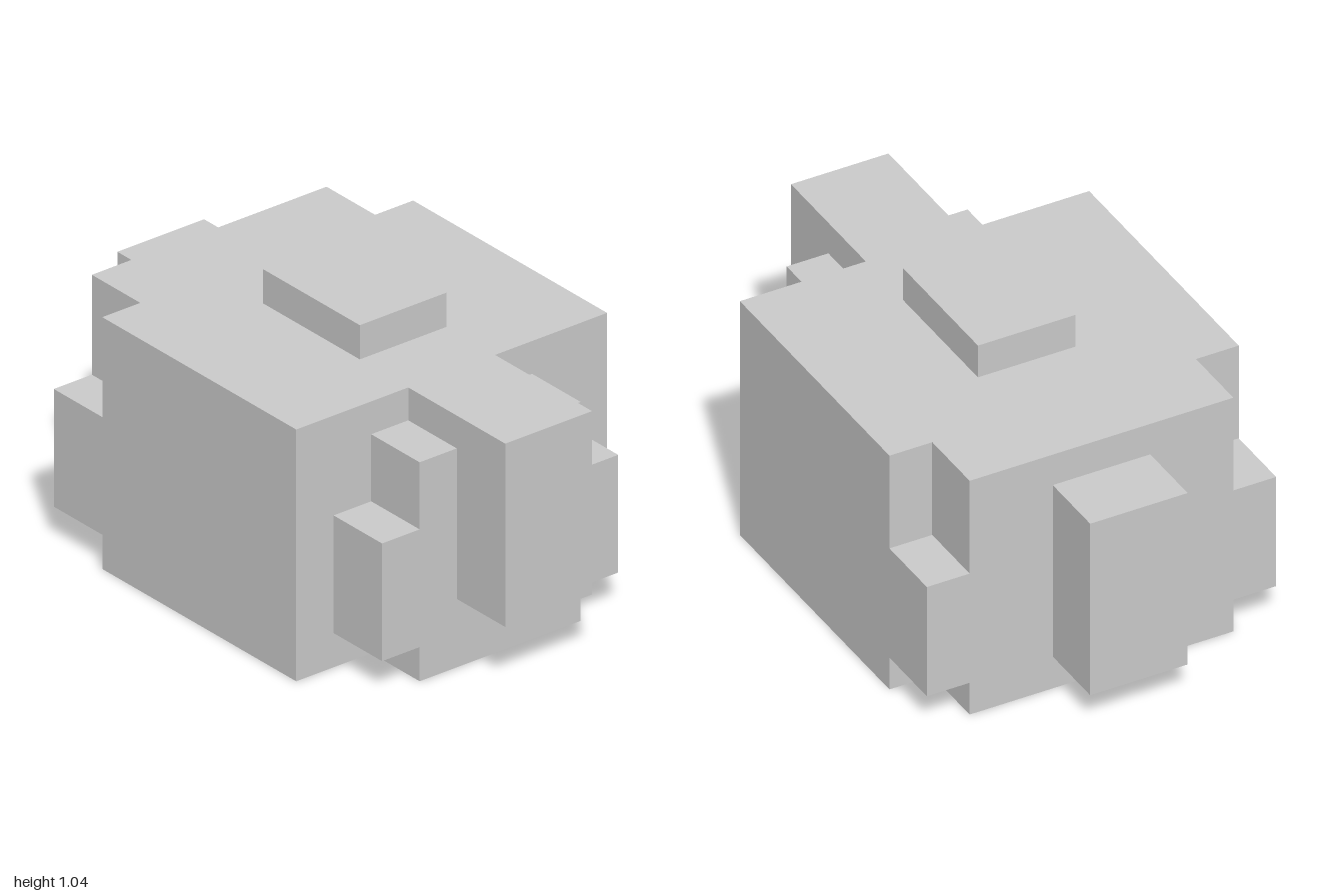
import * as THREE from 'three';

const material = new THREE.MeshStandardMaterial({ color: 0xcccccc, flatShading: true });

export function createModel() {
  const model = new THREE.Group();

  function add(name, geometry) {
    const mesh = new THREE.Mesh(geometry, material);
    mesh.name = name;
    model.add(mesh);
  }

  // Box from its x and y ranges, centred on z = 0
  function block(name, x0, x1, y0, y1, halfDepth) {
    const g = new THREE.BoxGeometry(x1 - x0, y1 - y0, 2 * halfDepth);
    add(name, g.translate((x0 + x1) / 2, (y0 + y1) / 2, 0));
  }

  // Slab along x with a mirrored end profile given as [halfDepth, y], bottom to top
  function slab(name, x0, x1, profile) {
    const mirrored = profile.map(([z, y]) => [-z, y]).reverse();
    const shape = new THREE.Shape([...profile, ...mirrored].map(([z, y]) => new THREE.Vector2(z, y)));
    const g = new THREE.ExtrudeGeometry(shape, { depth: x1 - x0, bevelEnabled: false });
    add(name, g.rotateY(Math.PI / 2).translate(x0, 0, 0));
  }

  // Central body and the raised plate on top
  block('body', -0.5, 0.5, 0, 0.92, 0.645);
  block('topPlate', -0.25, 0.25, 0.92, 1.045, 0.18);

  // Right end: notched corners and a flat tab
  slab('rightEnd', -0.75, -0.5, [
    [0.487, 0], [0.487, 0.125], [0.645, 0.125], [0.645, 0.555], [0.487, 0.555], [0.487, 0.92],
  ]);
  block('rightTab', -1, -0.75, 0.125, 0.8, 0.18);

  // Left end: smaller stepped slab with a long tab running through it
  slab('leftEnd', 0.5, 0.75, [
    [0.334, 0], [0.334, 0.125], [0.49, 0.125], [0.49, 0.555], [0.334, 0.555], [0.334, 0.8],
  ]);
  block('leftTab', 0.5, 1, 0.25, 0.92, 0.18);

  return model;
}
